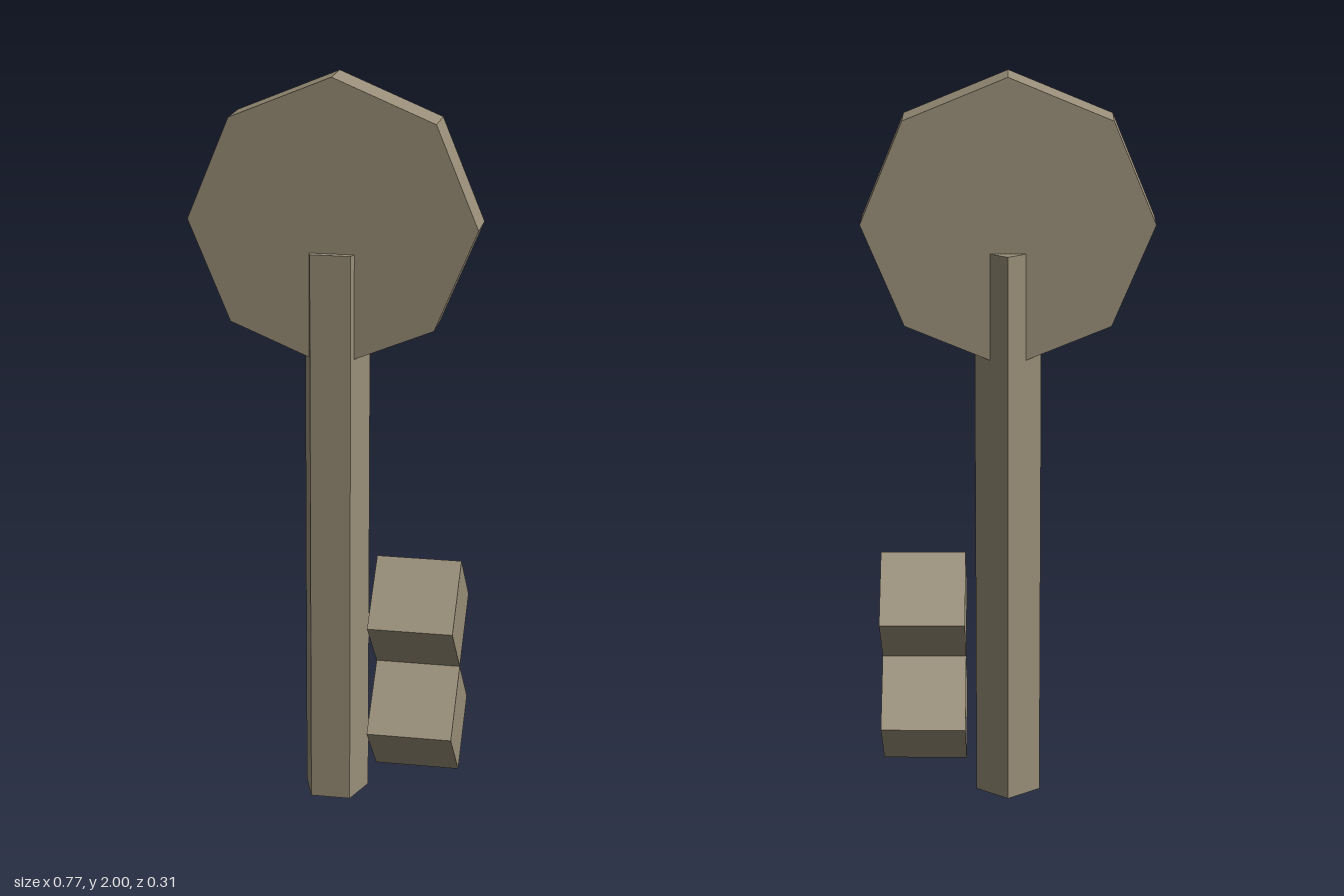
import * as THREE from 'three';

export function createModel() {
  const model = new THREE.Group();
  model.name = 'key';

  const metal = new THREE.MeshStandardMaterial({ color: 0x998e78, flatShading: true });
  metal.name = 'dull brass';

  // Flat-sided prism standing along y
  function prism(name, radius, length, sides) {
    const mesh = new THREE.Mesh(new THREE.CylinderGeometry(radius, radius, length, sides), metal);
    mesh.name = name;
    model.add(mesh);
    return mesh;
  }

  // Five-sided shaft, flat side to the front and ridge to the back
  const shaft = prism('shaft', 0.092, 1.54, 5);
  shaft.rotation.y = Math.PI;
  shaft.position.y = 0.77;

  // Eight-sided bow, one corner straight up
  const bow = prism('bow', 0.383, 0.114, 8);
  bow.rotation.x = Math.PI / 2;
  bow.position.set(0, 1.617, -0.001);

  // Two diamond-section teeth beside the shaft
  [0.235, 0.541].forEach((y, i) => {
    const tooth = prism(i ? 'upperTooth' : 'lowerTooth', 0.1535, 0.23, 4);
    tooth.rotation.z = Math.PI / 2;
    tooth.position.set(0.23, y, 0);
  });

  return model;
}
